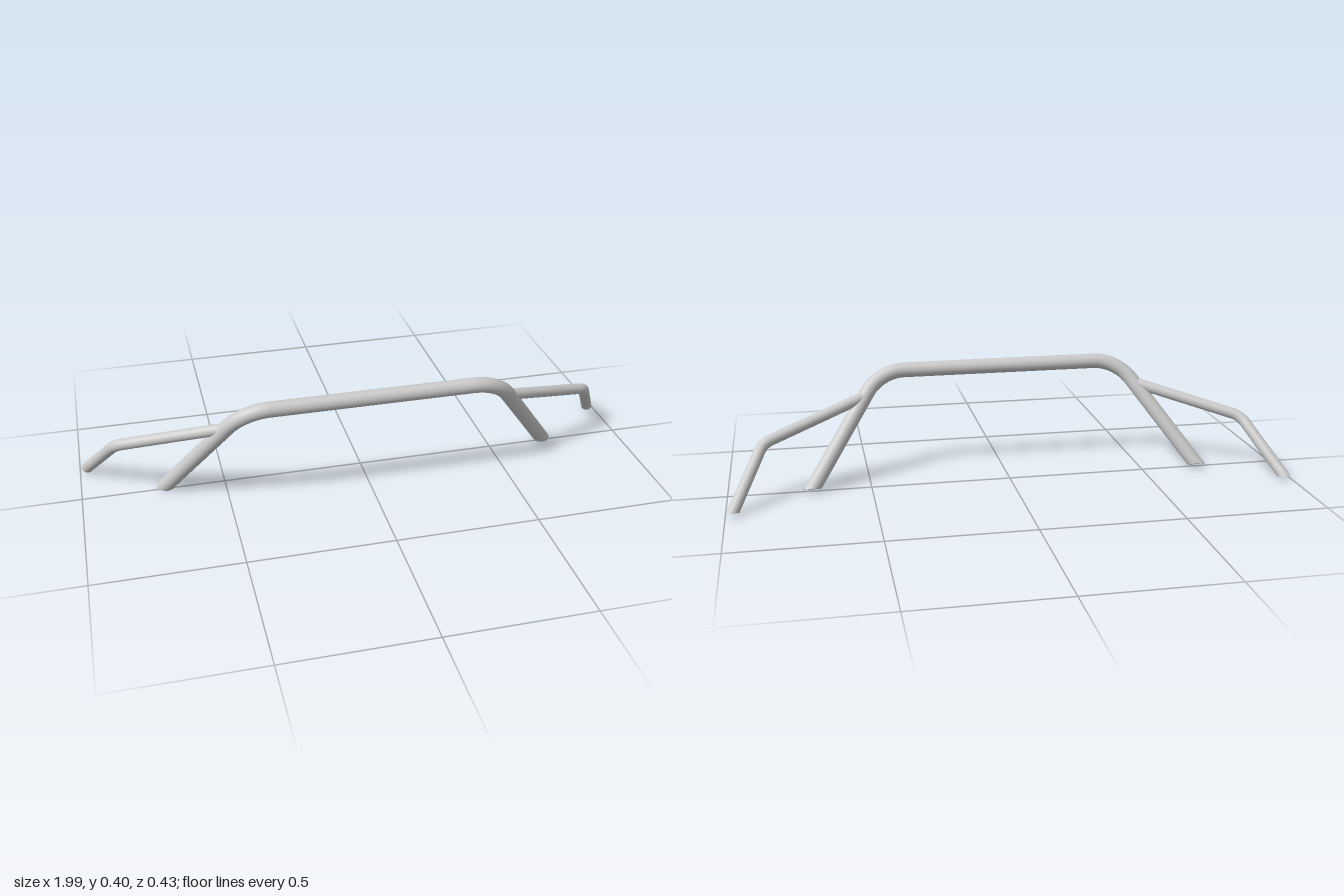
import * as THREE from 'three';

const SIDES = 32;
const material = new THREE.MeshStandardMaterial({ color: 0xcccccc, side: THREE.DoubleSide });

// Straight runs joined by rounded bends; reach = distance from corner to start of bend
function bentPath(points, reach) {
  const path = new THREE.CurvePath();
  let from = points[0];
  for (let i = 1; i < points.length - 1; i++) {
    const corner = points[i];
    const toward = (p) => corner.clone().add(p.clone().sub(corner).setLength(reach));
    const a = toward(points[i - 1]);
    const b = toward(points[i + 1]);
    path.add(new THREE.LineCurve3(from, a));
    // handle length of 0.55 approximates a circular bend
    path.add(new THREE.CubicBezierCurve3(a, a.clone().lerp(corner, 0.6), b.clone().lerp(corner, 0.6), b));
    from = b;
  }
  path.add(new THREE.LineCurve3(from, points[points.length - 1]));
  return path;
}

// Slides an end ring along its tube onto the sloped foot plane and returns a flat cap
function cutFoot(tube, ring, foot, direction, slope, flip) {
  const normal = new THREE.Vector3(0, 1, slope).normalize();
  const pos = tube.attributes.position;
  const v = new THREE.Vector3();
  const corners = [foot.x, foot.y, foot.z];
  const index = [];
  for (let j = 0; j <= SIDES; j++) {
    const k = ring * (SIDES + 1) + j;
    v.fromBufferAttribute(pos, k);
    const gap = foot.clone().sub(v).dot(normal) / direction.dot(normal);
    v.addScaledVector(direction, gap);
    pos.setXYZ(k, v.x, v.y, v.z);
    corners.push(v.x, v.y, v.z);
    if (j < SIDES) index.push(0, flip ? j + 2 : j + 1, flip ? j + 1 : j + 2);
  }
  const cap = new THREE.BufferGeometry();
  cap.setAttribute('position', new THREE.Float32BufferAttribute(corners, 3));
  cap.setIndex(index);
  cap.computeVertexNormals();
  return cap;
}

function pipe(name, points, radius, reach, slope, bothEnds) {
  const group = new THREE.Group();
  group.name = name;
  const segments = 120;
  const tube = new THREE.TubeGeometry(bentPath(points, reach), segments, radius, SIDES, false);
  const n = points.length;
  const addCap = (ring, foot, before, flip) => {
    const direction = foot.clone().sub(before).normalize();
    const cap = new THREE.Mesh(cutFoot(tube, ring, foot, direction, slope, flip), material);
    cap.name = name + 'FootCap';
    group.add(cap);
  };
  addCap(segments, points[n - 1], points[n - 2], true);
  if (bothEnds) addCap(0, points[0], points[1], false);
  const mesh = new THREE.Mesh(tube, material);
  mesh.name = name + 'Tube';
  group.add(mesh);
  return group;
}

export function createModel() {
  const model = new THREE.Group();
  model.name = 'rollBar';
  const V = (x, y, z) => new THREE.Vector3(x, y, z);

  // Main hoop: crossbar with a splayed leg at each end
  model.add(pipe('mainHoop', [
    V(-0.708, 0.013, -0.008), V(-0.445, 0.378, 0.19),
    V(0.445, 0.378, 0.19), V(0.708, 0.013, -0.008),
  ], 0.027, 0.09, 0.4, true));

  // Rear stays, starting inside the hoop legs
  for (const s of [1, -1]) {
    model.add(pipe(s > 0 ? 'leftStay' : 'rightStay', [
      V(s * 0.5, 0.3, 0.144), V(s * 0.868, 0.194, -0.016), V(s * 0.975, 0.014, -0.19),
    ], 0.02, 0.03, 0.22, false));
  }
  return model;
}
